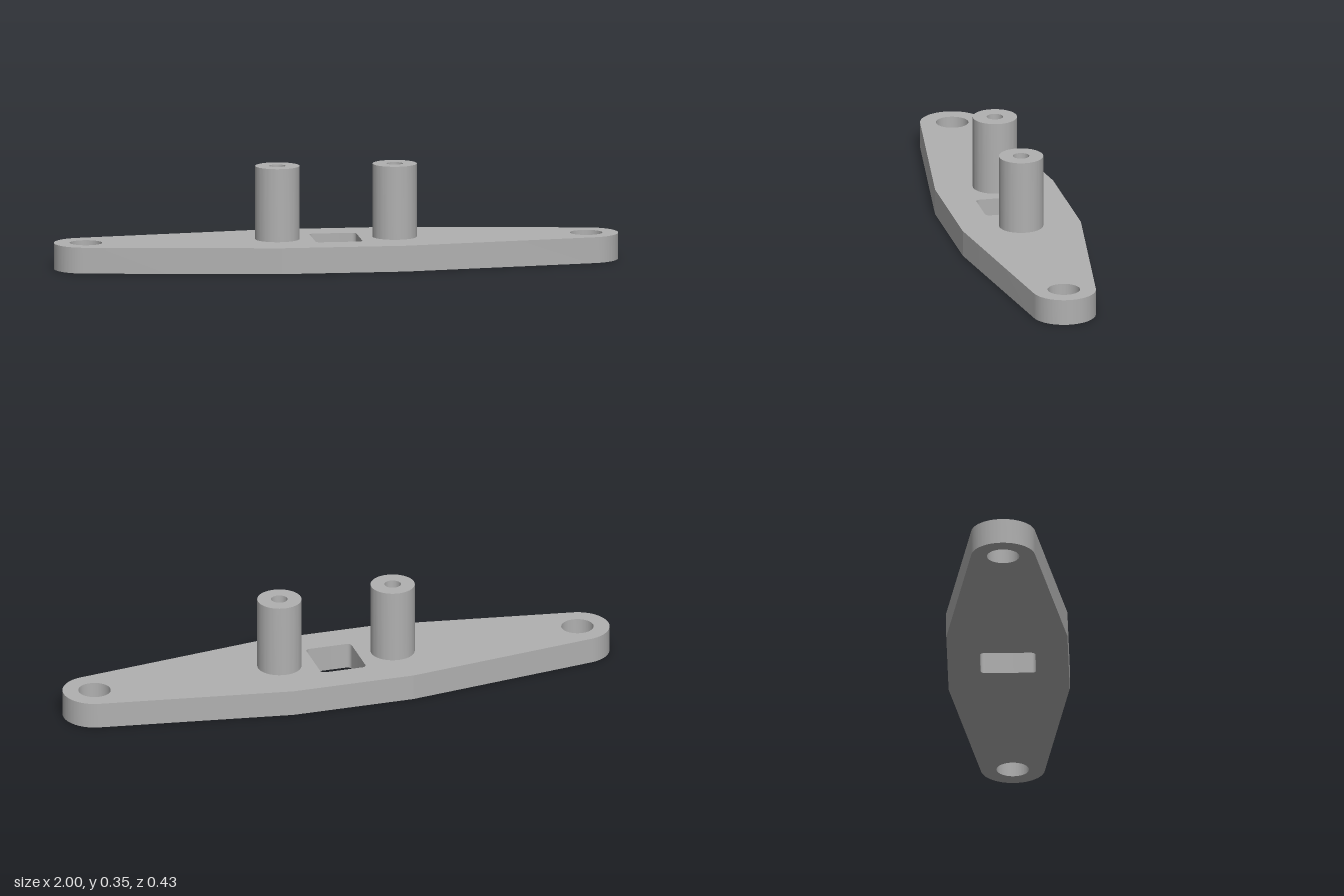
import * as THREE from 'three';
import { toCreasedNormals } from 'three/addons/utils/BufferGeometryUtils.js';

const THICK = 0.092, TOP = 0.352;

function circle(x, y, r) {
  return new THREE.Path().absarc(x, y, r, 0, Math.PI * 2, false);
}

// Extrude a plan outline upwards, smooth on curves and sharp on corners
function slab(shape, y, height, material, name) {
  const geo = new THREE.ExtrudeGeometry(shape, { depth: height, bevelEnabled: false, curveSegments: 32 });
  geo.rotateX(-Math.PI / 2);
  const mesh = new THREE.Mesh(toCreasedNormals(geo, 0.12), material);
  mesh.position.y = y;
  mesh.name = name;
  return mesh;
}

export function createModel() {
  const group = new THREE.Group();
  group.name = 'mountingBracket';
  const grey = new THREE.MeshStandardMaterial({ color: 0xb0b0b0 });
  grey.name = 'grey';

  // Tapered plate: flat middle edges run tangentially into round ends
  const endX = 0.887, endR = 0.113, midX = 0.22, midZ = 0.213;
  const dx = midX - endX;
  const a = Math.atan2(midZ, dx) - Math.acos(endR / Math.hypot(dx, midZ));
  const plate = new THREE.Shape();
  plate.moveTo(-midX, -midZ);
  plate.lineTo(midX, -midZ);
  plate.absarc(endX, 0, endR, -a, a, false);
  plate.lineTo(midX, midZ);
  plate.lineTo(-midX, midZ);
  plate.absarc(-endX, 0, endR, Math.PI - a, Math.PI + a, false);
  plate.closePath();

  // Bolt holes at both ends
  for (const s of [-1, 1]) plate.holes.push(circle(s * endX, 0, 0.057));

  // Rounded rectangular window in the centre
  const w = 0.083, h = 0.098, r = 0.016, q = Math.PI / 2;
  const opening = new THREE.Path();
  opening.moveTo(w, h - r);
  [[1, 1], [-1, 1], [-1, -1], [1, -1]].forEach(([sx, sy], i) =>
    opening.absarc(sx * (w - r), sy * (h - r), r, i * q, (i + 1) * q, false));
  opening.closePath();
  plate.holes.push(opening);
  group.add(slab(plate, 0, THICK, grey, 'plate'));

  // Hollow posts; the plate closes their bores at the bottom
  for (const [s, name] of [[-1, 'rightPost'], [1, 'leftPost']]) {
    const ring = new THREE.Shape().absarc(0, 0, 0.078, 0, Math.PI * 2, false);
    ring.holes.push(circle(0, 0, 0.029));
    const post = slab(ring, THICK, TOP - THICK, grey, name);
    post.position.x = s * 0.208;
    group.add(post);
  }
  return group;
}
